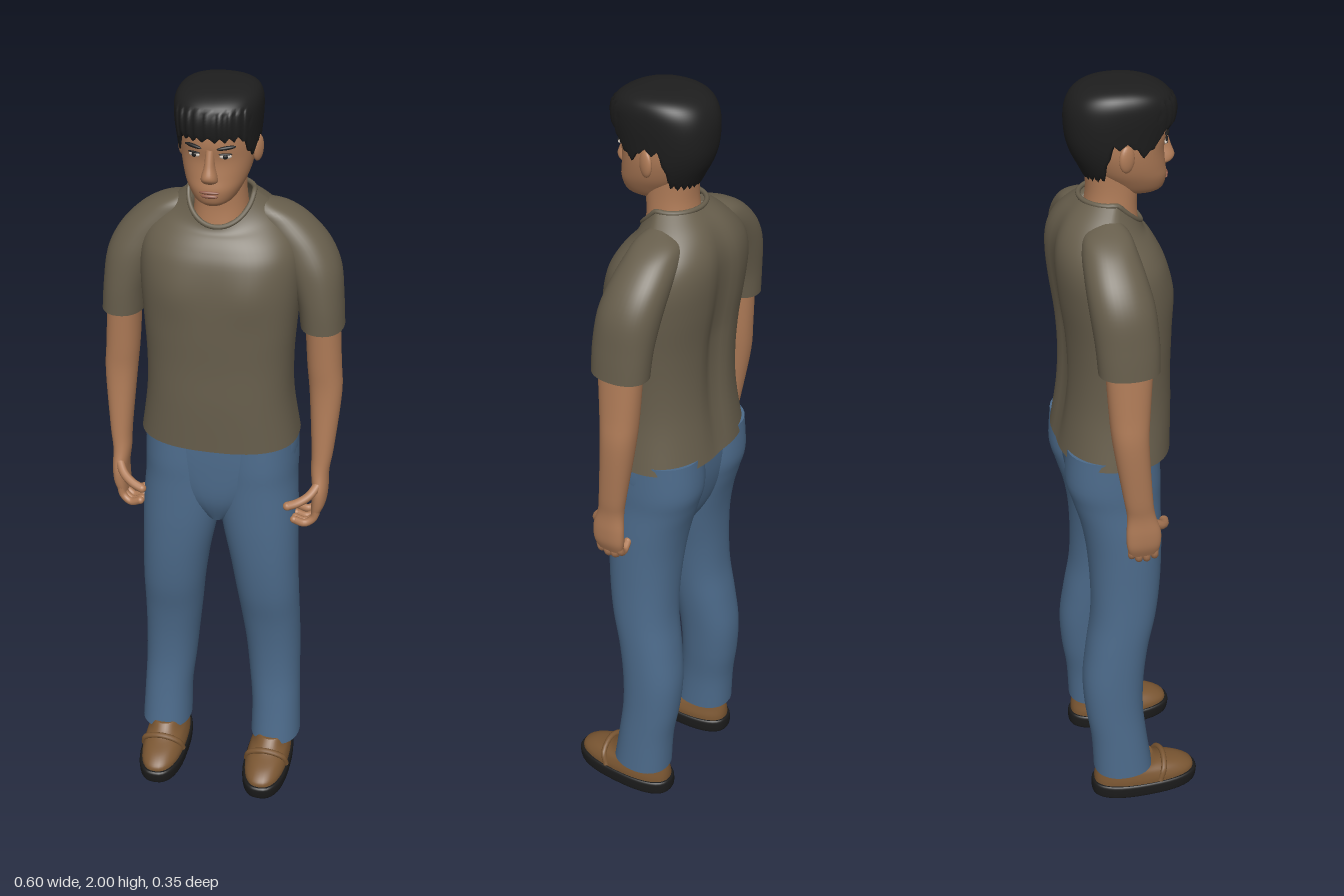
import * as THREE from 'three';

const mat = (name, color) => {
  const m = new THREE.MeshStandardMaterial({ color, side: THREE.DoubleSide });
  m.name = name;
  return m;
};

// Smooth loft through rows [y, centreX, halfWidth, frontZ, backZ, squareness, frontTilt].
function loft(rows, { side = 1, seg = 40, steps = 5, bottom = true, top = true, deform } = {}) {
  const full = rows.map(r => [r[0], r[1], r[2], r[3], r[4], r[5] ?? 2.2, r[6] ?? 0]);
  const rings = [];
  for (let i = 0; i < full.length - 1; i++) {
    const p = [full[Math.max(i - 1, 0)], full[i], full[i + 1], full[Math.min(i + 2, full.length - 1)]];
    for (let k = 0; k < steps + (i === full.length - 2 ? 1 : 0); k++) {
      const t = k / steps;
      rings.push(p[1].map((b, c) => {
        const a = p[0][c], d = p[2][c], e = p[3][c];
        return b + 0.5 * t * (d - a + t * (2 * a - 5 * b + 4 * d - e + t * (3 * (b - d) + e - a)));
      }));
    }
  }
  const pos = [], idx = [], v = new THREE.Vector3();
  rings.forEach(([y, cx, w, zf, zb, n, tilt]) => {
    const cz = (zf + zb) / 2, rz = Math.max(0, (zf - zb) / 2), pw = 2 / n;
    for (let i = 0; i < seg; i++) {
      const a = (i / seg) * Math.PI * 2, s = Math.sin(a), c = Math.cos(a);
      const dx = Math.max(w, 0) * Math.sign(s) * Math.abs(s) ** pw;
      const dz = rz * Math.sign(c) * Math.abs(c) ** pw;
      v.set(cx * side + dx, y + tilt * Math.max(0, dz), cz + dz);
      if (deform) deform(v, a);
      pos.push(v.x, v.y, v.z);
    }
  });
  for (let j = 0; j < rings.length - 1; j++) for (let i = 0; i < seg; i++) {
    const k = (i + 1) % seg, a = j * seg + i, b = j * seg + k;
    idx.push(a, b, b + seg, a, b + seg, a + seg);
  }
  const cap = (row, up) => {
    const base = pos.length / 3, start = row * seg * 3, r = rings[row];
    pos.push(...pos.slice(start, start + seg * 3), r[1] * side, r[0], (r[3] + r[4]) / 2);
    for (let i = 0; i < seg; i++) {
      const k = (i + 1) % seg;
      idx.push(base + seg, base + (up ? i : k), base + (up ? k : i));
    }
  };
  if (bottom) cap(0, false);
  if (top) cap(rings.length - 1, true);
  const g = new THREE.BufferGeometry();
  g.setAttribute('position', new THREE.Float32BufferAttribute(pos, 3));
  g.setIndex(idx);
  g.computeVertexNormals();
  return g;
}

export function createModel() {
  const model = new THREE.Group();
  const skin = mat('skin', 0xb07c58), shirt = mat('olive shirt', 0x675e4c);
  const denim = mat('blue denim', 0x4c6a8a), leather = mat('brown leather', 0x7a5632);
  const hairMat = mat('black hair', 0x1e1e1e), rubber = mat('black sole', 0x1b1b1b);
  const eyeWhite = mat('eye white', 0xcfc4b8), lipMat = mat('lips', 0x8f5a47);

  const add = (name, geo, material, parent = model) => {
    const m = new THREE.Mesh(geo, material);
    m.name = name;
    parent.add(m);
    return m;
  };
  const blob = (name, material, p, s, ry = 0, rz = 0) => {
    const m = add(name, new THREE.SphereGeometry(1, 20, 14), material);
    m.position.set(...p);
    m.scale.set(...s);
    m.rotation.set(0, ry, rz);
    return m;
  };
  const tube = (pts, r, closed = false) => new THREE.TubeGeometry(
    new THREE.CatmullRomCurve3(pts.map(p => new THREE.Vector3(...p)), closed), closed ? 48 : 14, r, 10, closed);

  // Shirt body with a spine valley and soft chest
  add('shirtBody', loft([
    [1.08, 0, 0.2, 0.11, -0.172, 2.5], [1.2, 0, 0.183, 0.112, -0.155, 2.5], [1.3, 0, 0.181, 0.11, -0.15, 2.5],
    [1.4, 0, 0.187, 0.111, -0.155, 2.5], [1.5, 0, 0.195, 0.108, -0.168, 2.5], [1.57, 0, 0.195, 0.096, -0.174, 2.5],
    [1.62, 0, 0.182, 0.08, -0.172, 2.4, -0.1], [1.66, 0, 0.152, 0.063, -0.16, 2.3, -0.25],
    [1.695, 0, 0.115, 0.052, -0.137, 2.2, -0.55], [1.728, 0, 0.078, 0.045, -0.1, 2.1, -0.95],
  ], {
    seg: 64, top: false,
    deform: v => {
      const fade = Math.max(0, 1 - Math.abs(v.y - 1.4) / 0.33);
      if (v.z < -0.08) v.z += 0.022 * Math.sqrt(fade) * Math.exp(-((v.x / 0.035) ** 2));
      if (v.z > 0.04) v.z += 0.006 * Math.exp(-(((Math.abs(v.x) - 0.09) / 0.05) ** 2) - ((v.y - 1.5) / 0.06) ** 2);
    },
  }), shirt);
  const collar = [];
  for (let i = 0; i < 24; i++) {
    const a = (i / 24) * Math.PI * 2, z = Math.cos(a) * 0.0725;
    collar.push([Math.sin(a) * 0.078, 1.727 - 0.95 * Math.max(0, z), -0.0275 + z]);
  }
  add('collar', tube(collar, 0.006, true), shirt);

  // Hips join the two trouser legs
  add('hips', loft([
    [0.83, 0, 0.03, 0.04, -0.08], [0.9, 0, 0.12, 0.068, -0.12], [1.0, 0, 0.19, 0.073, -0.145, 2.5],
    [1.1, 0, 0.193, 0.07, -0.15, 2.5],
  ]), denim);

  for (const side of [1, -1]) {
    const tag = side > 0 ? 'left' : 'right';
    add(tag + 'Sleeve', loft([
      [1.39, 0.248, 0.053, 0.03, -0.115], [1.46, 0.24, 0.056, 0.03, -0.12], [1.54, 0.22, 0.066, 0.024, -0.128],
      [1.6, 0.188, 0.07, 0.012, -0.13], [1.65, 0.142, 0.07, 0, -0.125], [1.68, 0.115, 0.05, -0.01, -0.11],
      [1.7, 0.09, 0.02, -0.03, -0.07],
    ], { side }), shirt);

    // Arm runs down through the wrist into the palm
    add(tag + 'Arm', loft([
      [0.87, 0.254, 0.012, 0.028, -0.042, 2.6], [0.9, 0.26, 0.018, 0.034, -0.05, 2.5], [0.94, 0.262, 0.02, 0.034, -0.052],
      [0.99, 0.259, 0.023, 0.02, -0.05], [1.05, 0.262, 0.028, 0.012, -0.06], [1.2, 0.262, 0.04, 0.002, -0.085],
      [1.29, 0.255, 0.042, 0.006, -0.093], [1.42, 0.247, 0.042, 0.015, -0.1],
    ], { side }), skin);
    [0.022, 0.002, -0.018, -0.036].forEach((z, i) => {
      const drop = [0, 0.006, 0.004, -0.008][i], tip = [0.203 * side, 0.858 - drop, z + 0.012];
      add(tag + 'Finger' + (i + 1), tube([[0.258 * side, 0.895, z], [0.252 * side, 0.862 - drop, z],
        [0.23 * side, 0.847 - drop, z + 0.006], tip], 0.01), skin);
      blob(tag + 'Fingertip' + (i + 1), skin, tip, [0.01, 0.01, 0.01]);
    });
    const thumbTip = [0.19 * side, 0.915, 0.062];
    add(tag + 'Thumb', tube([[0.262 * side, 0.965, 0.012], [0.242 * side, 0.94, 0.04],
      [0.215 * side, 0.924, 0.056], thumbTip], 0.0115), skin);
    blob(tag + 'ThumbTip', skin, thumbTip, [0.0115, 0.0115, 0.0115]);

    add(tag + 'TrouserLeg', loft([
      [0.095, 0.157, 0.068, 0.045, -0.115], [0.2, 0.154, 0.066, 0.03, -0.12], [0.3, 0.147, 0.069, 0.021, -0.134],
      [0.4, 0.141, 0.073, 0.024, -0.139], [0.5, 0.134, 0.078, 0.037, -0.127], [0.6, 0.127, 0.083, 0.058, -0.112],
      [0.7, 0.118, 0.089, 0.07, -0.11], [0.8, 0.107, 0.098, 0.075, -0.116], [0.88, 0.1, 0.102, 0.075, -0.13],
      [0.95, 0.097, 0.1, 0.074, -0.15], [1.01, 0.097, 0.1, 0.074, -0.165], [1.1, 0.095, 0.098, 0.068, -0.16],
    ], { side }), denim);

    // Shoe: chunky sole, leather upper and instep strap
    add(tag + 'Sole', loft([
      [0, 0.148, 0.058, 0.165, -0.115, 2.5], [0.008, 0.148, 0.063, 0.173, -0.12, 2.5],
      [0.034, 0.148, 0.064, 0.177, -0.12, 2.5], [0.042, 0.148, 0.06, 0.172, -0.116, 2.5],
    ], { side }), rubber);
    add(tag + 'ShoeUpper', loft([
      [0.038, 0.148, 0.058, 0.168, -0.113, 2.4], [0.055, 0.148, 0.058, 0.164, -0.113, 2.3],
      [0.074, 0.149, 0.053, 0.135, -0.111], [0.092, 0.15, 0.046, 0.08, -0.107], [0.115, 0.152, 0.042, 0.05, -0.1],
    ], { side }), leather);
    add(tag + 'ShoeStrap', tube([[0.092 * side, 0.045, 0.06], [0.103 * side, 0.08, 0.073], [0.149 * side, 0.098, 0.08],
      [0.196 * side, 0.08, 0.073], [0.205 * side, 0.045, 0.06]], 0.008), leather);

    // Face details on this side
    blob(tag + 'Ear', skin, [0.089 * side, 1.842, -0.008], [0.01, 0.032, 0.02], -0.35 * side);
    blob(tag + 'EyeWhite', eyeWhite, [0.036 * side, 1.856, 0.0965], [0.014, 0.0055, 0.004], 0.3 * side);
    blob(tag + 'Iris', hairMat, [0.036 * side, 1.856, 0.099], [0.006, 0.0055, 0.003], 0.3 * side);
    blob(tag + 'EyeLid', hairMat, [0.036 * side, 1.862, 0.0985], [0.016, 0.0022, 0.003], 0.3 * side);
    blob(tag + 'Eyebrow', hairMat, [0.038 * side, 1.877, 0.0985], [0.022, 0.0045, 0.005], 0.35 * side, 0.12 * side);
  }

  add('neck', loft([
    [1.62, 0, 0.072, 0.045, -0.1], [1.69, 0, 0.064, 0.036, -0.09], [1.75, 0, 0.06, 0.038, -0.083],
    [1.83, 0, 0.062, 0.04, -0.09],
  ]), skin);
  add('head', loft([
    [1.73, 0, 0.03, 0.088, 0.0], [1.742, 0, 0.048, 0.1, -0.03], [1.77, 0, 0.065, 0.106, -0.055],
    [1.8, 0, 0.077, 0.102, -0.08], [1.84, 0, 0.085, 0.099, -0.1], [1.88, 0, 0.086, 0.105, -0.11],
    [1.92, 0, 0.085, 0.1, -0.11], [1.96, 0, 0.07, 0.08, -0.09], [1.985, 0, 0.03, 0.04, -0.05],
  ], { seg: 56 }), skin);
  add('nose', loft([
    [1.79, 0, 0.012, 0.108, 0.08], [1.797, 0, 0.019, 0.12, 0.08], [1.81, 0, 0.018, 0.127, 0.08],
    [1.835, 0, 0.012, 0.118, 0.08], [1.87, 0, 0.01, 0.107, 0.08],
  ], { seg: 24 }), skin);
  blob('upperLip', lipMat, [0, 1.769, 0.104], [0.024, 0.0045, 0.006]);
  blob('lowerLip', lipMat, [0, 1.76, 0.104], [0.02, 0.005, 0.006]);

  // Hair cap: a ragged hairline is high at the brow and low at the nape
  const edge = a => {
    const c = Math.cos(a), jag = Math.abs(((a * 28) / (2 * Math.PI)) % 1 - 0.5) * 2;
    const ease = THREE.MathUtils.smoothstep;
    return 1.872 + 0.026 * ease(c, 0.55, 0.75) - 0.025 * (ease(c, 0.12, 0.25) - ease(c, 0.4, 0.6))
      - 0.09 * ease(-c, 0.2, 0.6) + 0.015 * (jag - 0.5);
  };
  add('hair', loft([
    [1.76, 0, 0.055, 0.07, -0.08], [1.8, 0, 0.078, 0.09, -0.1], [1.84, 0, 0.09, 0.104, -0.12],
    [1.88, 0, 0.095, 0.115, -0.13, 2.3], [1.93, 0, 0.099, 0.124, -0.131, 2.3], [1.965, 0, 0.097, 0.114, -0.119, 2.3],
    [1.986, 0, 0.084, 0.085, -0.095, 2.3], [1.997, 0, 0.055, 0.045, -0.06], [2.0, 0, 0.004, 0, -0.008],
  ], {
    seg: 112,
    deform: (v, a) => {
      v.y = Math.max(v.y, edge(a));
      if (v.z > 0.07 && v.y < 1.96) v.z += 0.004 * Math.cos(a * 28);
    },
  }), hairMat);

  return model;
}
